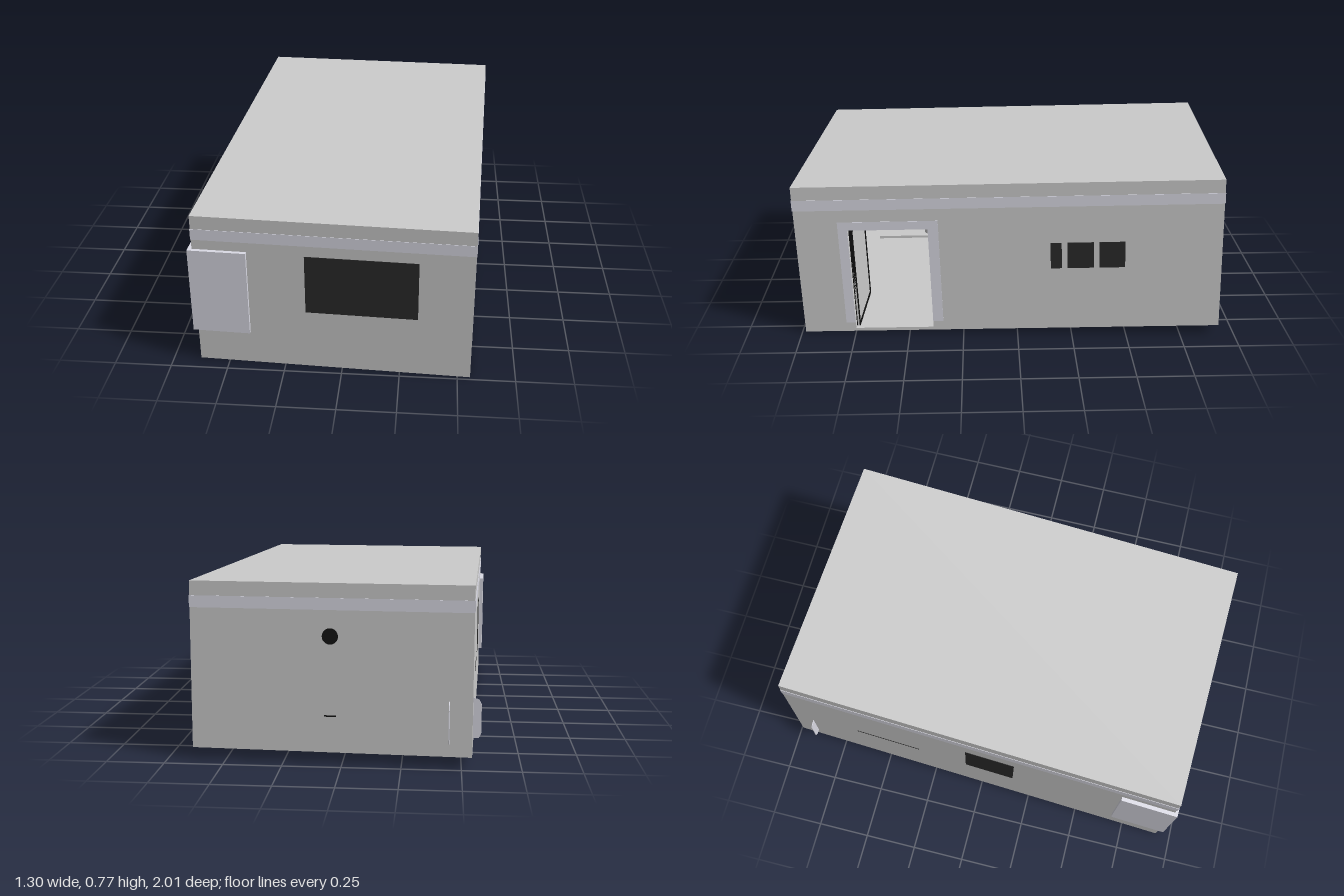
import * as THREE from 'three';

const W = 1.188, H = 0.717, D = 1.912, T = 0.015;
const X = W / 2, Z = D / 2;

const mat = (color) => new THREE.MeshStandardMaterial({ color, side: THREE.DoubleSide });
const grey = mat(0xcccccc), trim = mat(0xdadae4), dark = mat(0x2a2a2a), black = mat(0x111111);

export function createModel() {
  const model = new THREE.Group();
  const shop = new THREE.Group();
  shop.name = 'shop';
  shop.rotation.order = 'YXZ';
  shop.rotation.set(0.026, -0.046, 0);
  shop.position.set(0.006, 0.026, 0.002);
  model.add(shop);

  const add = (name, geo, material, x = 0, y = 0, z = 0) => {
    const m = new THREE.Mesh(geo, material);
    m.name = name;
    m.position.set(x, y, z);
    shop.add(m);
    return m;
  };
  // Box given by its lower and upper limits on each axis
  const box = (name, material, x0, x1, y0, y1, z0, z1) =>
    add(name, new THREE.BoxGeometry(x1 - x0, y1 - y0, z1 - z0), material,
      (x0 + x1) / 2, (y0 + y1) / 2, (z0 + z1) / 2);

  // Shell
  box('floor', grey, -X, X, 0, T, -Z, Z);
  box('roof', grey, -X, X, H - T, H, -Z, Z);
  box('leftWall', grey, -X, -X + T, T, H - T, -Z, Z);
  box('frontWall', grey, -X + T, X, T, H - T, Z - T, Z);
  box('backWall', grey, -X + T, X, T, H - T, -Z, -Z + T);

  // Right wall with the doorway cut out
  const d0 = 0.36, d1 = 0.72, dTop = 0.508;
  const wall = new THREE.Shape();
  [[-Z + T, T], [d0, T], [d0, dTop], [d1, dTop], [d1, T], [Z - T, T], [Z - T, H - T], [-Z + T, H - T]]
    .forEach(([z, y], i) => (i ? wall.lineTo(-z, y) : wall.moveTo(-z, y)));
  const wallGeo = new THREE.ExtrudeGeometry(wall, { depth: T, bevelEnabled: false });
  wallGeo.rotateY(Math.PI / 2);
  add('rightWall', wallGeo, grey, X - T);

  // Light band round all four walls
  const e = 0.002;
  for (const s of [-1, 1]) {
    add('wallBand', new THREE.BoxGeometry(W + 2 * e, 0.05, e), trim, 0, 0.63, s * (Z + e / 2));
    add('wallBand', new THREE.BoxGeometry(e, 0.05, D), trim, s * (X + e / 2), 0.63, 0);
  }

  // Door surround
  box('doorSurroundFront', trim, X, X + e, 0.045, 0.548, d1, 0.763);
  box('doorSurroundBack', trim, X, X + e, 0.045, 0.548, 0.313, d0);
  box('doorSurroundTop', trim, X, X + e, dTop, 0.548, d0, d1);

  // Windows
  box('frontWindow', dark, -0.117, 0.363, 0.28, 0.555, Z, Z + e);
  for (const [a, b] of [[-0.237, -0.187], [-0.382, -0.262], [-0.522, -0.407]])
    box('sideWindow', dark, X, X + e, 0.305, 0.43, a, b);
  box('leftWindow', dark, -X - e, -X, 0.28, 0.52, -0.057, 0.183);
  box('leftLedge', dark, -X - e, -X, 0.297, 0.303, -0.62, -0.3);

  // Sign panels meeting at the front corner
  box('frontSign', trim, -X - 0.018, -0.362, 0.16, 0.56, Z, Z + 0.016);
  box('sideSign', trim, -X - 0.018, -X, 0.16, 0.56, 0.705, Z);

  // Round vent and slot on the back wall
  const vent = add('backVent', new THREE.CylinderGeometry(0.034, 0.034, 0.006, 20), black, 0, 0.495, -Z);
  vent.rotation.x = Math.PI / 2;
  box('backSlot', black, -0.025, 0.025, 0.154, 0.16, -Z - e, -Z);

  // Thin chamfered fins near the back corner
  const fin = new THREE.Shape();
  [[0, 0.06], [0.025, 0.06], [0.035, 0.08], [0.035, 0.205], [0.025, 0.225], [0, 0.235]]
    .forEach(([u, y], i) => (i ? fin.lineTo(u, y) : fin.moveTo(u, y)));
  const finGeo = new THREE.ExtrudeGeometry(fin, { depth: 0.004, bevelEnabled: false });
  add('leftFin', finGeo, trim, -X, 0, -0.86).rotation.y = Math.PI;
  add('backFin', finGeo, trim, -0.5, 0, -Z).rotation.y = Math.PI / 2;

  // Door leaf swung inward, with a dark frame
  const dx0 = 0.24, dx1 = X - T, dz = 0.71;
  box('doorLeaf', grey, dx0, dx1, 0.02, 0.5, dz - 0.004, dz + 0.004);
  for (const x of [dx0, dx1 - 0.012]) box('doorStile', black, x, x + 0.012, 0.02, 0.5, dz - 0.008, dz + 0.008);
  for (const y of [0.02, 0.488]) box('doorRail', black, dx0, dx1, y, y + 0.012, dz - 0.008, dz + 0.008);

  // Counter with a drum on top
  box('counterTop', grey, -0.35, 0.1, 0.25, 0.262, 0.37, 0.66);
  for (const x of [-0.34, 0.09]) box('counterLeg', black, x, x + 0.01, T, 0.25, 0.385, 0.395);
  add('drum', new THREE.CylinderGeometry(0.033, 0.033, 0.09, 20), grey, 0.05, 0.307, 0.405);

  // Shelving rack behind the counter
  for (let i = 0; i < 4; i++) box('shelf', grey, -0.4, 0.42, 0.1 + i * 0.11, 0.11 + i * 0.11, 0.1, 0.3);
  for (const x of [-0.4, 0.41])
    for (const z of [0.1, 0.29]) box('shelfPost', black, x, x + 0.01, T, 0.46, z, z + 0.01);

  return model;
}
